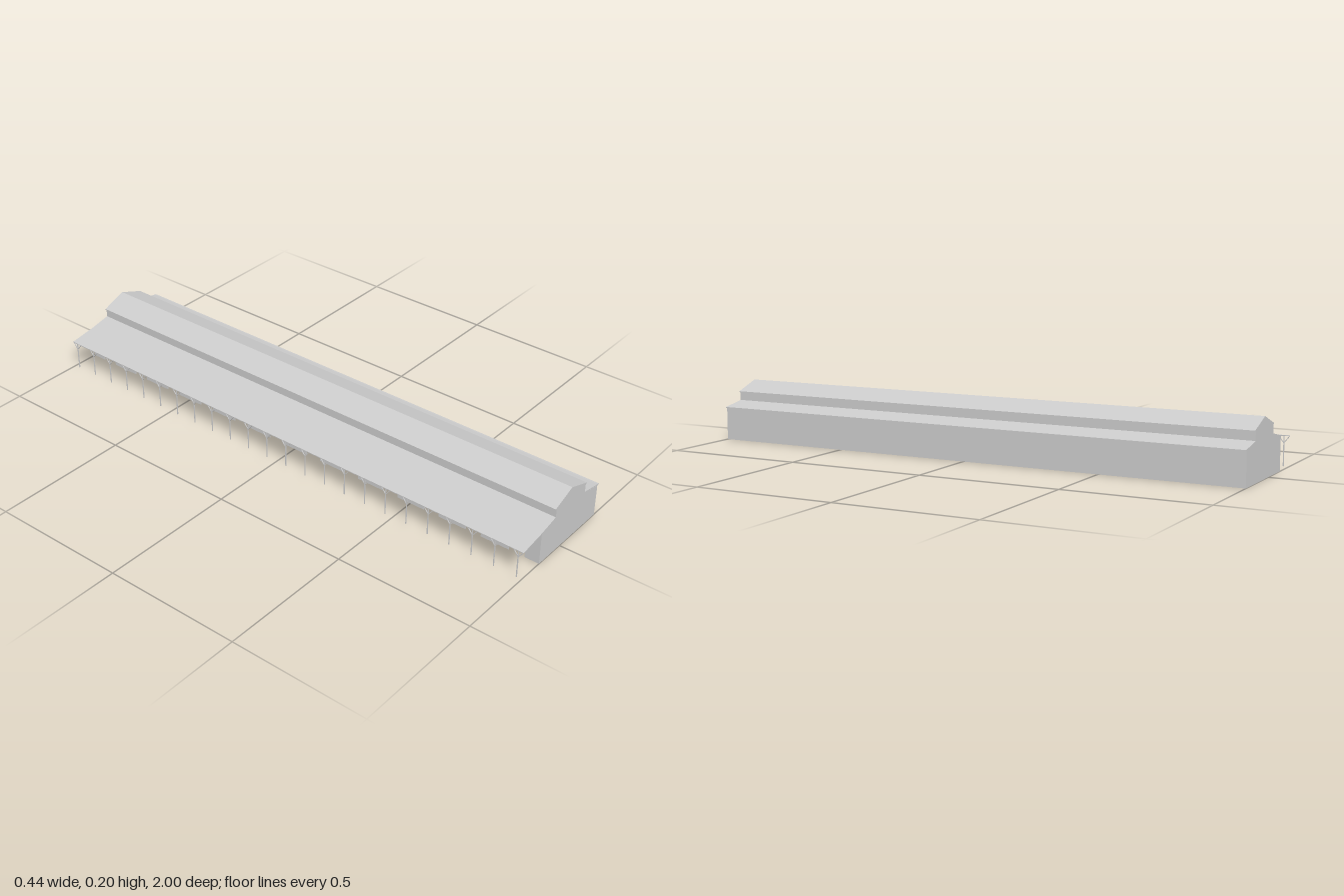
import * as THREE from 'three';

const material = new THREE.MeshStandardMaterial({ color: 0xcccccc, flatShading: true, side: THREE.DoubleSide });
const LENGTH = 2, BAYS = 12, BAY = LENGTH / BAYS, POSTS = 24;
const BACK = 0.213, FRONT = -0.12, MIDDLE = 0.015;

// Extrude an x-y outline along z, centred on the given z.
function slab(name, points, depth, z = 0) {
  const shape = new THREE.Shape(points.map(([x, y]) => new THREE.Vector2(x, y)));
  const geometry = new THREE.ExtrudeGeometry(shape, { depth, bevelEnabled: false });
  geometry.translate(0, 0, z - depth / 2);
  const mesh = new THREE.Mesh(geometry, material);
  mesh.name = name;
  return mesh;
}

function box(name, w, h, d, x, y, z) {
  const mesh = new THREE.Mesh(new THREE.BoxGeometry(w, h, d), material);
  mesh.name = name;
  mesh.position.set(x, y, z);
  return mesh;
}

// Sloping roof sheet given by its top line, with vertical edges.
function roof(name, a, b, thickness = 0.004) {
  return slab(name, [a, b, [b[0], b[1] - thickness], [a[0], a[1] - thickness]], LENGTH);
}

// Long wall with one doorway in the middle of every bay.
function doorWall(name, x, height, doorWidth, doorHeight) {
  const shape = new THREE.Shape();
  shape.moveTo(-LENGTH / 2, 0);
  for (let i = 0; i < BAYS; i++) {
    const c = -LENGTH / 2 + (i + 0.5) * BAY;
    shape.lineTo(c - doorWidth / 2, 0);
    shape.lineTo(c - doorWidth / 2, doorHeight);
    shape.lineTo(c + doorWidth / 2, doorHeight);
    shape.lineTo(c + doorWidth / 2, 0);
  }
  shape.lineTo(LENGTH / 2, 0);
  shape.lineTo(LENGTH / 2, height);
  shape.lineTo(-LENGTH / 2, height);
  const geometry = new THREE.ExtrudeGeometry(shape, { depth: 0.003, bevelEnabled: false });
  geometry.rotateY(Math.PI / 2);
  const mesh = new THREE.Mesh(geometry, material);
  mesh.name = name;
  mesh.position.x = x;
  return mesh;
}

export function createModel() {
  const model = new THREE.Group();
  model.name = 'stableBlock';

  // Gable ends and cross partitions share the stepped section
  const section = [
    [FRONT, 0], [BACK, 0], [BACK, 0.117], [0.132, 0.133], [0.132, 0.168],
    [0.045, 0.201], [-0.042, 0.168], [-0.042, 0.133], [FRONT, 0.117],
  ];
  for (let i = 0; i <= BAYS; i++) {
    const end = i === 0 || i === BAYS;
    const z = (-LENGTH / 2 + i * BAY) * (end ? 0.9985 : 1);
    model.add(slab(end ? 'endWall' : 'partition', section, 0.003, z));
  }

  // Long walls
  model.add(box('backWall', 0.003, 0.118, LENGTH, BACK - 0.0015, 0.059, 0));
  model.add(doorWall('frontWall', FRONT, 0.117, 0.06, 0.095));
  model.add(doorWall('middleWall', MIDDLE, 0.188, 0.05, 0.095));

  // Raised ridge: side walls and upper roof
  for (const x of [-0.0405, 0.1305]) {
    model.add(box('clerestoryWall', 0.003, 0.036, LENGTH, x, 0.15, 0));
  }
  model.add(roof('upperRoofFront', [-0.047, 0.17], [0.045, 0.204]));
  model.add(roof('upperRoofBack', [0.045, 0.204], [0.138, 0.17]));

  // Lower roofs and veranda roof
  model.add(roof('lowerRoofFront', [FRONT, 0.12], [-0.04, 0.137]));
  model.add(roof('lowerRoofBack', [0.13, 0.137], [0.213, 0.1215]));
  model.add(roof('eave', [0.213, 0.1215], [0.221, 0.121]));
  model.add(roof('verandaRoof', [-0.221, 0.105], [FRONT, 0.12], 0.003));

  // Veranda posts, each with a pair of braces under the roof edge
  for (let i = 0; i < POSTS; i++) {
    const post = new THREE.Group();
    post.name = 'verandaPost';
    post.position.set(-0.218, 0, -0.98 + (1.96 * i) / (POSTS - 1));
    post.add(box('post', 0.003, 0.103, 0.003, 0, 0.0515, 0));
    for (const side of [-1, 1]) {
      const brace = box('brace', 0.0025, 0.03, 0.0025, 0, 0.09, side * 0.009);
      brace.rotation.x = side * 0.65;
      post.add(brace);
    }
    model.add(post);
  }
  return model;
}
